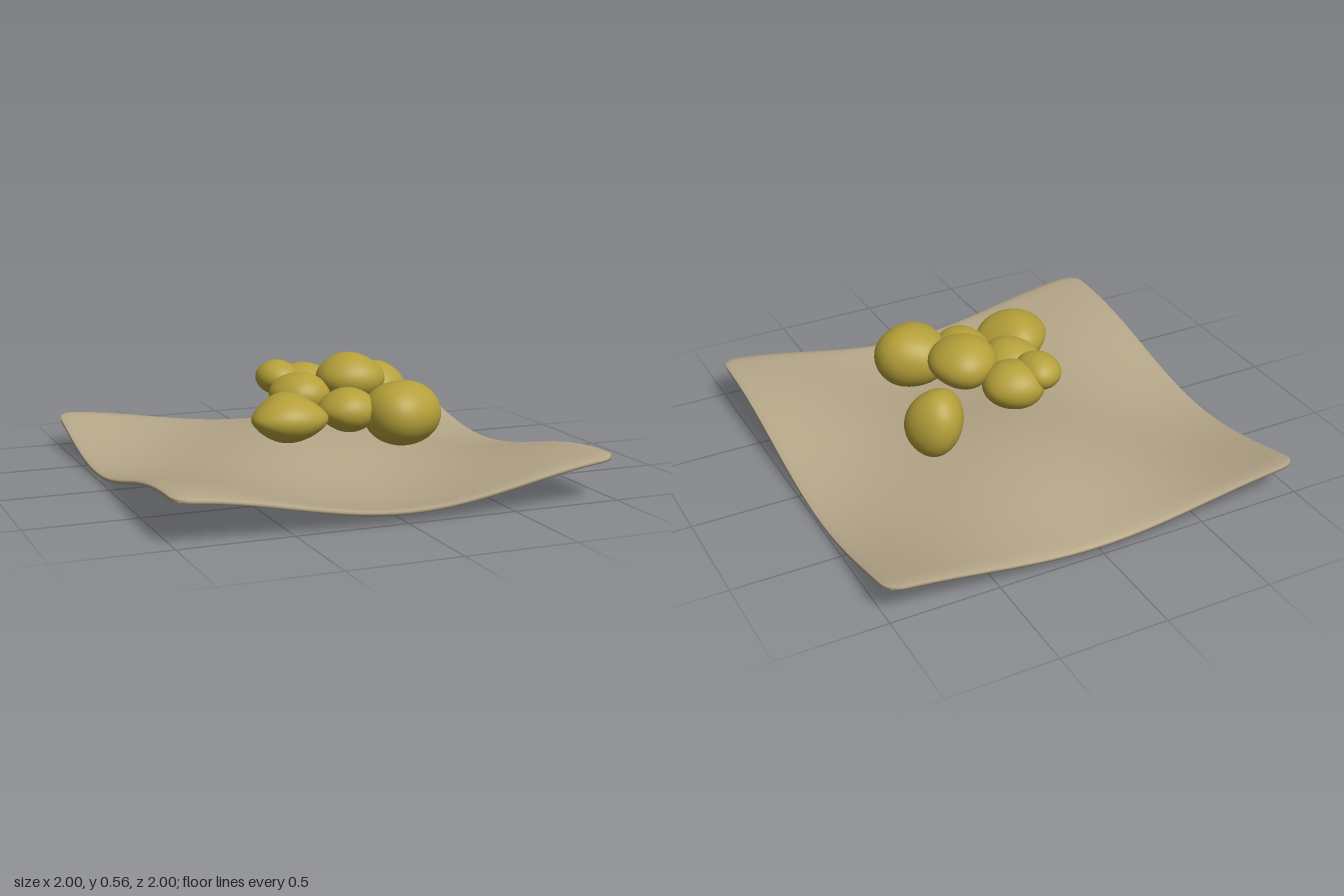
import * as THREE from 'three';
import { mergeVertices } from 'three/addons/utils/BufferGeometryUtils.js';

const clothMat = new THREE.MeshStandardMaterial({ color: 0xb5a688 });
clothMat.name = 'linen';
const nuggetMat = new THREE.MeshStandardMaterial({ color: 0xb5a03a });
nuggetMat.name = 'gold';

// Move every vertex by a rule, then weld and smooth the surface
function reshape(geometry, rule) {
  geometry.deleteAttribute('normal');
  geometry.deleteAttribute('uv');
  const g = mergeVertices(geometry, 1e-4);
  const p = g.attributes.position;
  const v = new THREE.Vector3();
  for (let i = 0; i < p.count; i++) {
    rule(v.fromBufferAttribute(p, i));
    p.setXYZ(i, v.x, v.y, v.z);
  }
  g.computeVertexNormals();
  return g;
}

// Height of the wavy cloth: a shallow bowl crossed by waves
function clothHeight(x, z) {
  return 0.072 + 0.036 * (x * x + z * z) + 0.008 * z
    + 0.066 * Math.cos(3.2 * (x - 0.02)) * Math.cos(3 * (z + 0.27));
}

function makeCloth() {
  const thick = 0.03, r = 0.08;
  const geometry = reshape(new THREE.BoxGeometry(2, thick, 2, 72, 2, 72), (v) => {
    const edge = 1 - Math.max(Math.abs(v.x), Math.abs(v.z));
    const taper = 0.55 + 0.45 * Math.min(1, edge / 0.05);
    // round the four corners
    const cx = Math.abs(v.x) - (1 - r), cz = Math.abs(v.z) - (1 - r);
    if (cx > 0 && cz > 0) {
      const k = Math.max(cx, cz) / Math.hypot(cx, cz);
      v.x = Math.sign(v.x) * (1 - r + cx * k);
      v.z = Math.sign(v.z) * (1 - r + cz * k);
    }
    v.y = clothHeight(v.x, v.z) - thick / 2 + v.y * taper;
  });
  const mesh = new THREE.Mesh(geometry, clothMat);
  mesh.name = 'cloth';
  return mesh;
}

// Lumpy nugget: at = centre, size = radii, taper narrows x toward the back,
// pinch flattens the left and right ends, lean shifts x with height
function makeNugget({ at, size, taper = 0, pinch = 0, lean = 0, turn = 0 }, i) {
  const c = Math.cos(turn), s = Math.sin(turn);
  const geometry = reshape(new THREE.SphereGeometry(1, 40, 28), (v) => {
    const lump = 1 + 0.025 * Math.sin(3 * v.x + i) * Math.cos(3 * v.z + 2 * i);
    const side = c * v.x - s * v.z, along = s * v.x + c * v.z;
    const y = v.y * (1 - pinch * side * side);
    const x = side * (1 + taper * along) + lean * v.y;
    v.set((c * x + s * along) * size[0], y * size[1], (c * along - s * x) * size[2]);
    v.multiplyScalar(lump);
  });
  const mesh = new THREE.Mesh(geometry, nuggetMat);
  mesh.name = `nugget${i + 1}`;
  mesh.position.set(...at);
  return mesh;
}

export function createModel() {
  const group = new THREE.Group();
  group.name = 'nuggetsOnCloth';
  group.add(makeCloth());

  const nuggets = [
    { at: [0.24, 0.333, 0.4], size: [0.176, 0.144, 0.176], taper: 0.1, pinch: -0.12, turn: 0.5 },
    { at: [-0.28, 0.34, 0.34], size: [0.166, 0.11, 0.172], taper: 0.2, pinch: 0.4 },
    { at: [0.02, 0.35, 0.313], size: [0.138, 0.1, 0.142], taper: 0.12, pinch: 0.25 },
    { at: [0.14, 0.445, 0.055], size: [0.16, 0.116, 0.165], taper: 0.05, pinch: 0.15 },
    { at: [-0.11, 0.385, 0.06], size: [0.14, 0.1, 0.145], pinch: 0.15 },
    { at: [-0.14, 0.43, -0.15], size: [0.1, 0.08, 0.122], turn: 0.3, taper: -0.08 },
    { at: [-0.02, 0.385, -0.142], size: [0.145, 0.108, 0.14], pinch: 0.1 },
    { at: [0.392, 0.316, -0.175], size: [0.133, 0.154, 0.137], taper: 0.15, lean: -0.12 },
  ];
  nuggets.forEach((n, i) => group.add(makeNugget(n, i)));
  return group;
}
